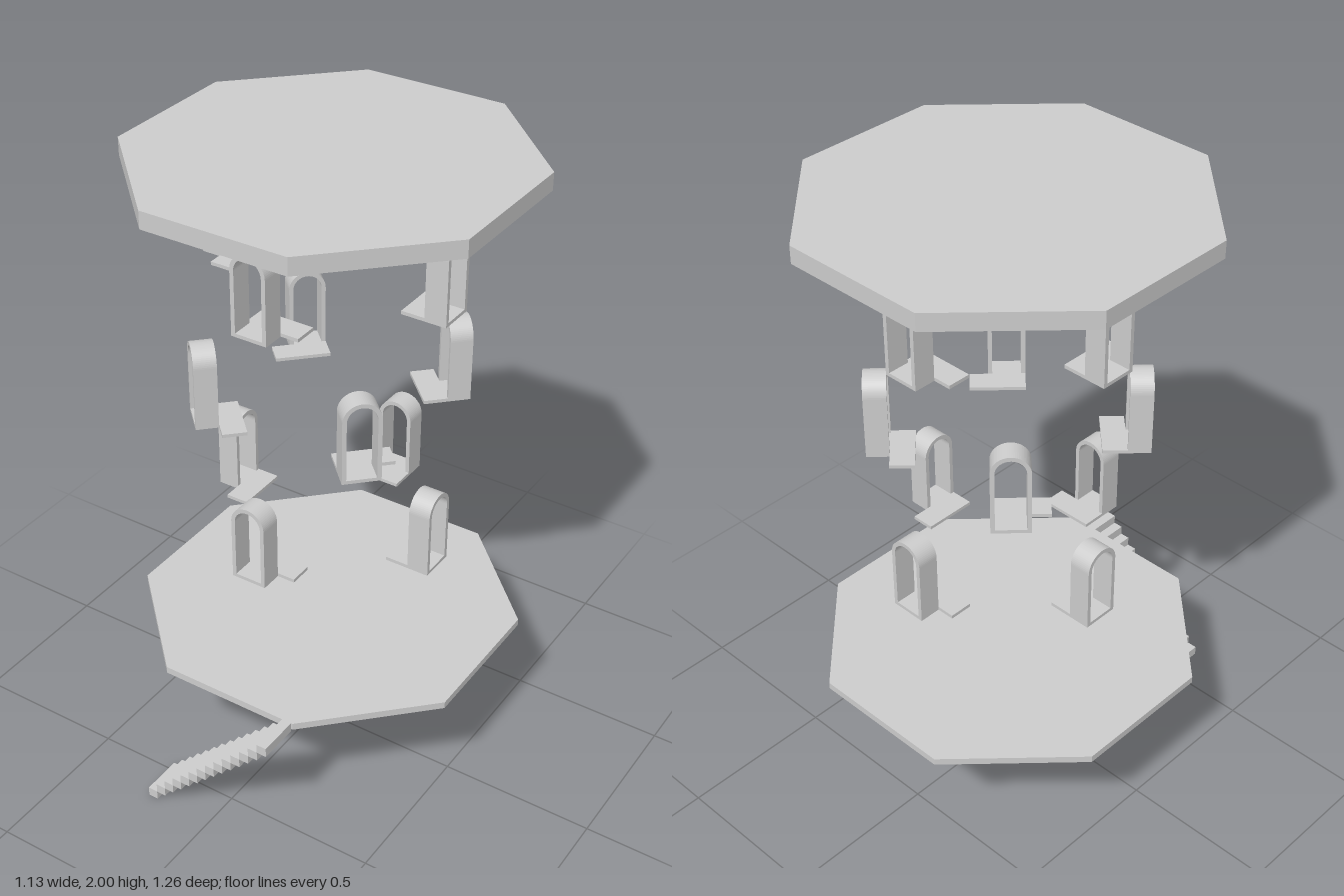
import * as THREE from 'three';

const stone = new THREE.MeshStandardMaterial({ color: 0xcccccc });
stone.name = 'pale grey stone';

const CENTRE_Z = -0.069;

function addMesh(parent, name, geometry) {
  const mesh = new THREE.Mesh(geometry, stone);
  mesh.name = name;
  parent.add(mesh);
  return mesh;
}

// Octagonal slab with flat sides facing the axes
function octagonSlab(bottom, top) {
  const radius = 0.566 / Math.cos(Math.PI / 8);
  const flat = new THREE.CylinderGeometry(radius, radius, top - bottom, 8, 1, false, Math.PI / 8).toNonIndexed();
  flat.computeVertexNormals();
  return flat.translate(0, (top + bottom) / 2, 0);
}

// Round-topped portal shell, open front and back; outer face at z = 0
const HALF = 0.058, HEIGHT = 0.263, DEPTH = 0.07, WALL = 0.013, FLOOR = 0.011;
function portalGeometry() {
  const spring = HEIGHT - HALF, inner = HALF - WALL;
  const shape = new THREE.Shape();
  shape.moveTo(HALF, 0);
  shape.lineTo(HALF, spring);
  shape.absarc(0, spring, HALF, 0, Math.PI, false);
  shape.lineTo(-HALF, 0);
  shape.closePath();
  const opening = new THREE.Path();
  opening.moveTo(inner, FLOOR);
  opening.lineTo(inner, spring);
  opening.absarc(0, spring, inner, 0, Math.PI, false);
  opening.lineTo(-inner, FLOOR);
  opening.closePath();
  shape.holes.push(opening);
  return new THREE.ExtrudeGeometry(shape, { depth: DEPTH, bevelEnabled: false, curveSegments: 16 })
    .translate(0, 0, -DEPTH);
}

// Landing inside each portal, reaching out to one side
function landingGeometry() {
  const width = HALF * 3, depth = 0.075;
  return new THREE.BoxGeometry(width, FLOOR, depth)
    .translate(HALF / 2, FLOOR / 2, -DEPTH - depth / 2);
}

export function createModel() {
  const model = new THREE.Group();
  model.name = 'octagonalTower';

  const tower = new THREE.Group();
  tower.name = 'tower';
  tower.position.z = CENTRE_Z;
  model.add(tower);
  addMesh(tower, 'lowerFloor', octagonSlab(0.412, 0.435));
  addMesh(tower, 'roof', octagonSlab(1.945, 2));

  // Three rings of four portals, the middle one turned by an eighth
  const portal = portalGeometry(), landing = landingGeometry();
  const rings = [
    { name: 'lowerRing', y: 0.754, radius: 0.405, shift: -0.029, turn: 0 },
    { name: 'middleRing', y: 1.18, radius: 0.42, shift: 0, turn: Math.PI / 4 },
    { name: 'upperRing', y: 1.605, radius: 0.415, shift: 0, turn: 0 },
  ];
  for (const { name, y, radius, shift, turn } of rings) {
    const ring = new THREE.Group();
    ring.name = name;
    ring.position.y = y;
    tower.add(ring);
    for (let i = 0; i < 4; i++) {
      const arm = new THREE.Group();
      arm.name = 'doorway';
      arm.rotation.y = turn + i * Math.PI / 2;
      ring.add(arm);
      addMesh(arm, 'archedFrame', portal).position.set(shift, 0, radius);
      addMesh(arm, 'landing', landing).position.set(shift, 0, radius);
    }
  }

  // Straight flight climbing along the front edge
  const stairs = new THREE.Group();
  stairs.name = 'stairs';
  model.add(stairs);
  const steps = 14, rise = 0.435 / steps, run = 0.458 / steps;
  const stepGeometry = new THREE.BoxGeometry(run, rise, 0.133);
  for (let i = 0; i < steps; i++) {
    addMesh(stairs, 'step', stepGeometry)
      .position.set(-0.229 + (i + 0.5) * run, (i + 0.5) * rise, 0.563);
  }
  return model;
}
